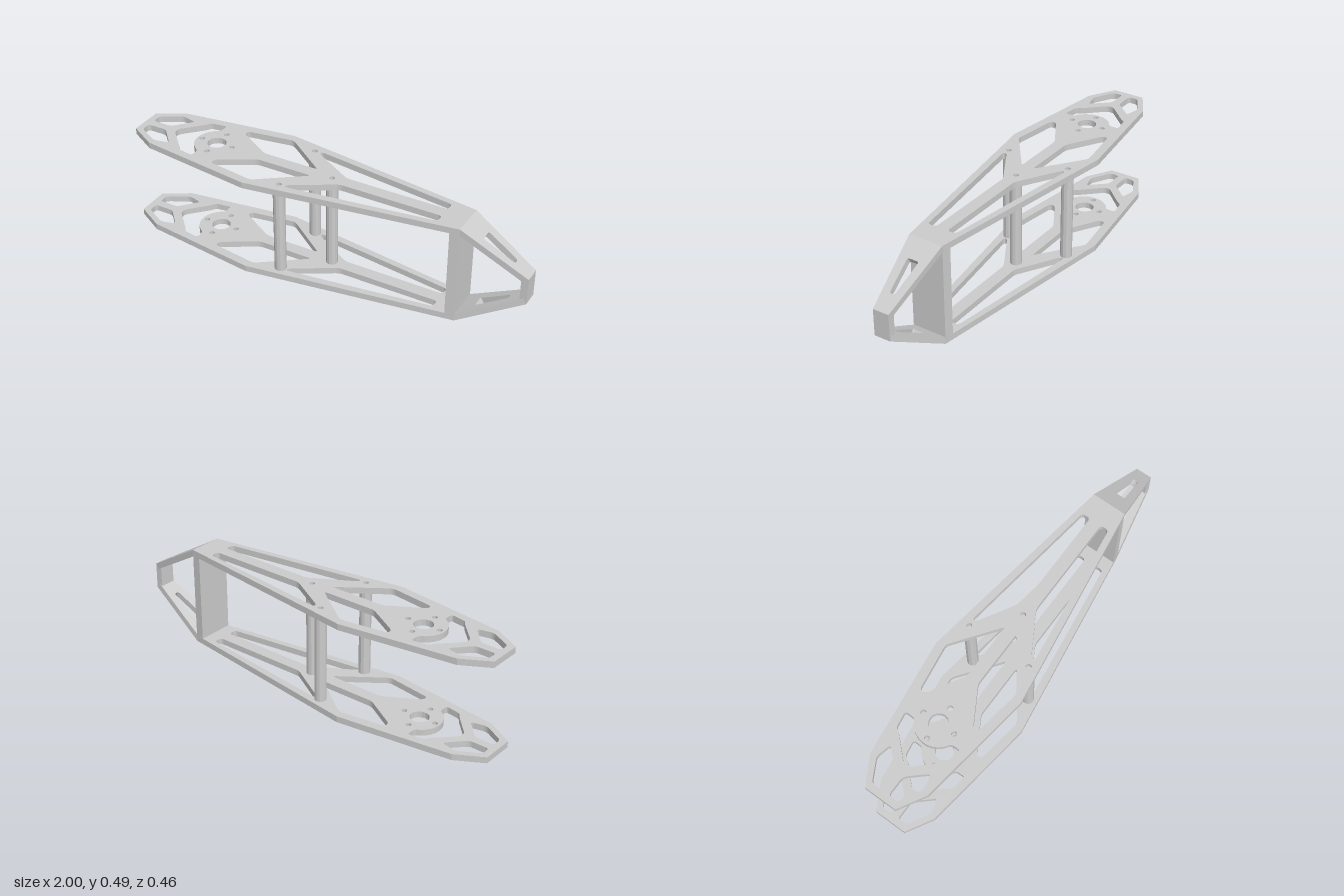
import * as THREE from 'three';

const HEIGHT = 0.492, THICK = 0.03;
const PILLARS = [[-0.159, 0.161], [-0.159, -0.161], [0.023, 0]];
const material = new THREE.MeshStandardMaterial({ color: 0xcccccc, flatShading: true });

// Closed path through the points with each corner rounded by up to r
function rounded(points, r) {
  const path = new THREE.Path();
  const pts = points.map(p => new THREE.Vector2(...p));
  const n = pts.length;
  pts.forEach((p, i) => {
    const towards = q => p.clone().add(
      q.clone().sub(p).setLength(Math.min(r, q.distanceTo(p) * 0.45)));
    const a = towards(pts[(i + n - 1) % n]);
    const b = towards(pts[(i + 1) % n]);
    if (i === 0) path.moveTo(a.x, a.y); else path.lineTo(a.x, a.y);
    path.quadraticCurveTo(p.x, p.y, b.x, b.y);
  });
  path.closePath();
  return path;
}

function circle(x, z, r) {
  return new THREE.Path().absarc(x, z, r, 0, Math.PI * 2, true);
}

// Closed outline mirrored across the x axis from one half, counter-clockwise
function mirrored(half) {
  return [...half.map(([x, z]) => [x, -z]), ...[...half].reverse()];
}

const planShape = half => new THREE.Shape(mirrored(half).map(p => new THREE.Vector2(...p)));

// Plan shape (x, z) extruded downwards from y = 0
function slab(shape, depth) {
  return new THREE.ExtrudeGeometry(shape, { depth, bevelEnabled: false, curveSegments: 8 })
    .rotateX(Math.PI / 2);
}

function mesh(name, geometry) {
  const m = new THREE.Mesh(geometry, material);
  m.name = name;
  return m;
}

function armPlate() {
  const shape = planShape([[-1, 0.08], [-0.87, 0.155], [-0.31, 0.231], [0.69, 0.085]]);

  // Lightening pockets, one of each per side
  const pockets = [
    [[-0.968, 0.02], [-0.968, 0.068], [-0.865, 0.125], [-0.79, 0.108], [-0.87, 0.02]],
    [[-0.52, 0.158], [-0.29, 0.192], [-0.07, 0.03], [-0.35, 0.03], [-0.52, 0.13]],
    [[-0.125, 0.168], [0.58, 0.072], [0.58, 0.03], [0.08, 0.03], [-0.125, 0.15]]
  ];
  for (const pocket of pockets)
    for (const s of [1, -1])
      shape.holes.push(rounded(pocket.map(([x, z]) => [x, z * s]), 0.018));

  // Chevron pocket curving around the motor mount
  const mx = -0.593;
  const chevron = [[-0.82, 0.015], [-0.725, 0.115], [-0.715, 0.135], [-0.635, 0.148]];
  const arc = [];
  for (let i = 0; i <= 8; i++) {
    const a = Math.PI * (0.63 + i * 0.0925);
    arc.push([mx + 0.108 * Math.cos(a), 0.108 * Math.sin(a)]);
  }
  const lower = chevron.map(([x, z]) => [x, -z]).reverse();
  shape.holes.push(rounded([...chevron, ...arc, ...lower], 0.015));

  // Motor shaft hole with its ring of screw holes
  shape.holes.push(circle(mx, 0, 0.045));
  for (let i = 0; i < 4; i++) {
    const a = i * Math.PI / 2;
    shape.holes.push(circle(mx + 0.083 * Math.cos(a), 0.083 * Math.sin(a), 0.013));
  }
  // Screw holes over the pillars
  for (const [x, z] of PILLARS) shape.holes.push(circle(x, z, 0.013));
  return mesh('armPlate', slab(shape, THICK));
}

// Sloping nose panel with its tapered slot
function nosePanel() {
  const drop = 0.181, run = 0.31;
  const length = Math.hypot(drop, run);
  const shape = planShape([[0, 0.085], [length, 0.04]]);
  shape.holes.push(rounded(mirrored([[0.101, 0.029], [0.27, 0.013]]), 0.01));
  const panel = mesh('nosePanel', slab(shape, THICK));
  panel.position.x = 0.69;
  panel.rotation.z = -Math.atan2(drop, run);
  return panel;
}

export function createModel() {
  const model = new THREE.Group();
  model.name = 'armFrame';

  // Upper and lower halves, the lower one turned over
  for (const name of ['upperArm', 'lowerArm']) {
    const half = new THREE.Group();
    half.name = name;
    half.add(armPlate(), nosePanel());
    if (name === 'upperArm') half.position.y = HEIGHT;
    else half.rotation.x = Math.PI;
    model.add(half);
  }

  // Wall joining the plates at the base of the nose
  const wall = mesh('noseWall',
    slab(planShape([[0.645, 0.0915], [0.69, 0.085]]), HEIGHT - 2 * THICK));
  wall.position.y = HEIGHT - THICK;
  model.add(wall);

  // Blunt end wall of the nose
  const tip = mesh('noseTip', new THREE.BoxGeometry(0.033, 0.13, 0.08));
  tip.position.set(0.9835, HEIGHT / 2, 0);
  model.add(tip);

  // Standoff pillars between the plates
  const pillarGeometry = new THREE.CylinderGeometry(0.028, 0.028, HEIGHT - 2 * THICK, 12);
  for (const [x, z] of PILLARS) {
    const pillar = mesh('pillar', pillarGeometry);
    pillar.position.set(x, HEIGHT / 2, z);
    model.add(pillar);
  }
  return model;
}
